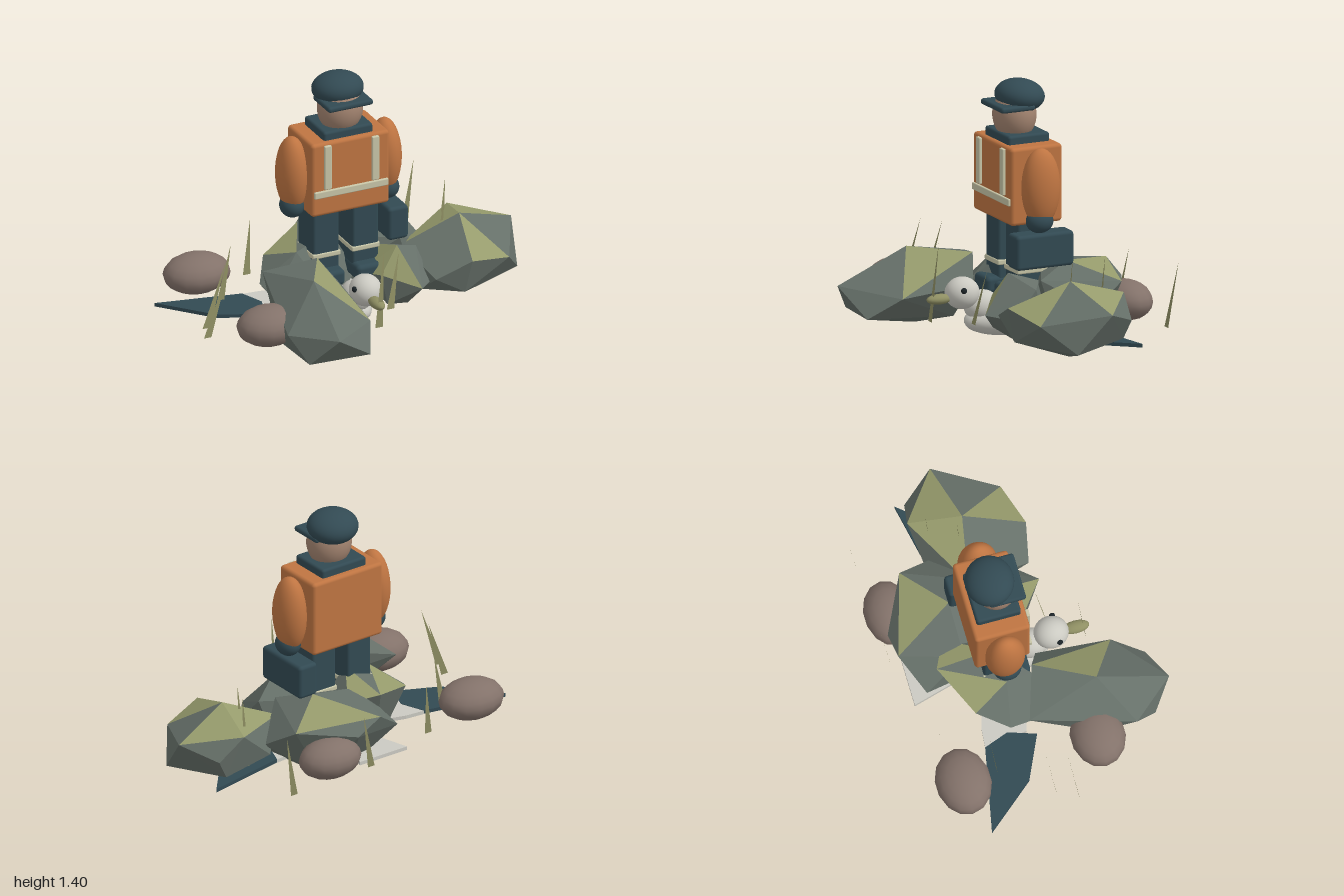
import * as THREE from 'three';
import { RoundedBoxGeometry } from 'three/addons/geometries/RoundedBoxGeometry.js';
import { ConvexGeometry } from 'three/addons/geometries/ConvexGeometry.js';

const mat = (name, color, flatShading = false) => {
  const m = new THREE.MeshStandardMaterial({ color, flatShading });
  m.name = name;
  return m;
};

export function createModel() {
  const orange = mat('orange', 0xbf7542), navy = mat('navy', 0x324a53), skin = mat('skin', 0xa38470);
  const brown = mat('brown stone', 0x83726a), grey = mat('rock grey', 0x667069, true);
  const moss = mat('moss', 0x969b6c, true), cream = mat('cream', 0xc8c6a8);
  const white = mat('feather white', 0xcbcac2), straw = mat('straw', 0x8f8f63), black = mat('black', 0x1c2428);
  straw.side = THREE.DoubleSide;

  const CX = -0.045; // shared centre line of the figure and the bird
  const model = new THREE.Group();
  const group = (name) => {
    const g = new THREE.Group();
    g.name = name;
    model.add(g);
    return g;
  };
  const add = (parent, name, geometry, material, x = 0, y = 0, z = 0) => {
    const m = new THREE.Mesh(geometry, material);
    m.name = name;
    m.position.set(x, y, z);
    parent.add(m);
    return m;
  };
  const box = (p, name, material, w, h, d, x, y, z, r = 0.015) =>
    add(p, name, new RoundedBoxGeometry(w, h, d, 2, r), material, x, y, z);
  const ball = (p, name, material, rx, ry, rz, x, y, z, seg = 24) =>
    add(p, name, new THREE.SphereGeometry(1, seg, Math.round(seg * 0.7)).scale(rx, ry, rz), material, x, y, z);

  // Faceted rocks: hull corners, and spots [x, z] whose nearest upper face is mossy
  const rocks = group('rocks');
  const rock = (name, corners, mossSpots) => {
    const geo = new ConvexGeometry(corners.map((c) => new THREE.Vector3(...c)));
    const p = geo.attributes.position, n = geo.attributes.normal, faces = [];
    for (let i = 0; i < p.count; i += 3) {
      faces.push({
        x: (p.getX(i) + p.getX(i + 1) + p.getX(i + 2)) / 3,
        z: (p.getZ(i) + p.getZ(i + 1) + p.getZ(i + 2)) / 3,
        up: n.getY(i) > 0.3, mossy: 0,
      });
    }
    for (const [x, z] of mossSpots) {
      const upper = faces.filter((f) => f.up);
      upper.sort((a, b) => Math.hypot(a.x - x, a.z - z) - Math.hypot(b.x - x, b.z - z));
      upper[0].mossy = 1;
    }
    faces.forEach((f, i) => geo.addGroup(i * 3, 3, f.mossy));
    add(rocks, name, geo, [grey, moss]);
  };
  rock('frontRightRock', [
    [-0.42, 0.46, 0.34], [-0.455, 0.275, 0.73], [-0.24, 0.13, 0.66], [-0.16, 0.24, 0.49],
    [-0.65, 0.255, 0.5], [-0.6, 0.125, 0.3], [-0.53, 0.37, -0.06], [-0.25, 0.43, 0.03],
    [-0.14, 0.28, 0.08], [-0.26, 0.09, 0.14], [-0.45, 0.03, 0.275], [-0.58, 0.12, 0.62],
  ], [[-0.275, 0.29]]);
  rock('backRock', [
    [0, 0.39, -0.635], [0.155, 0.32, -0.65], [0.46, 0.37, -0.5], [0.53, 0.25, -0.31],
    [-0.19, 0.25, -0.53], [0.2, 0.45, -0.3], [-0.1, 0.4, -0.3], [0.28, 0.07, -0.47],
    [0.07, 0.06, -0.47], [0.15, 0.06, -0.2], [0.4, 0.12, -0.15], [0.3, 0.38, -0.1], [-0.1, 0.15, -0.2],
  ], [[0.22, -0.47]]);
  rock('middleRock', [
    [-0.13, 0.41, -0.46], [0.03, 0.38, -0.385], [-0.4, 0.33, -0.32], [-0.5, 0.25, -0.155],
    [-0.48, 0.22, -0.03], [-0.125, 0.46, -0.15], [-0.3, 0.41, -0.12], [-0.22, 0, -0.29],
    [-0.38, 0.1, -0.2], [-0.05, 0.07, -0.3], [0.08, 0.25, -0.15], [-0.1, 0.15, 0], [-0.25, 0.3, 0.03],
  ], [[-0.1, -0.34], [-0.28, -0.29]]);
  rock('smallFrontRock', [
    [0.21, 0.42, 0.05], [0.365, 0.35, -0.04], [0.39, 0.2, 0.1], [0.28, 0.22, 0.22], [0.1, 0.28, 0.09],
    [0.04, 0.25, -0.06], [0.275, 0.07, 0.05], [0.13, 0.11, 0.1], [0.18, 0.35, -0.15], [0.32, 0.13, -0.13],
  ], [[0.12, 0.03], [0.14, -0.05], [0.2, 0.12]]);
  rock('leftRock', [
    [0.65, 0.455, -0.1], [0.715, 0.38, -0.385], [0.86, 0.26, -0.36], [0.995, 0.335, -0.18],
    [0.945, 0.125, 0], [0.82, 0.27, 0.16], [0.57, 0.325, 0.23], [0.375, 0.24, 0.19], [0.33, 0.31, -0.155],
    [0.51, 0.2, -0.34], [0.635, 0.04, -0.1], [0.36, 0.12, 0.02], [0.55, 0.13, 0.18], [0.8, 0.15, -0.34],
  ], [[0.56, -0.2], [0.79, -0.22], [0.68, 0.1]]);

  // Smooth boulders
  const boulders = group('boulders');
  for (const [x, z, rx, rz] of [[-0.715, -0.478, 0.188, 0.15], [0.308, -0.6, 0.182, 0.135], [-0.655, 0.28, 0.18, 0.148]])
    ball(boulders, 'boulder', brown, rx, 0.107, rz, x, 0.225, z, 14);

  // Flat grass blades: base x, z and tip x, y, z
  const grass = group('grass');
  const blades = [
    [-0.93, 0.1, -0.79, 0.5, 0.07], [-0.885, -0.01, -0.755, 0.48, -0.04], [-0.67, -0.28, -0.6, 0.44, -0.3],
    [-0.4, -0.52, -0.365, 0.44, -0.55], [0.08, -0.66, 0.155, 0.46, -0.695], [0.61, -0.69, 0.685, 0.5, -0.725],
    [0.62, -0.28, 0.665, 0.58, -0.3], [0.54, -0.135, 0.585, 0.56, -0.147], [0.1, 0.2, 0.17, 0.43, 0.155],
    [-0.055, 0.38, -0.01, 0.57, 0.35],
  ];
  for (const [bx, bz, tx, ty, tz] of blades) {
    const geo = new THREE.BufferGeometry().setFromPoints([
      new THREE.Vector3(bx - 0.022, 0.13, bz), new THREE.Vector3(bx + 0.022, 0.13, bz), new THREE.Vector3(tx, ty, tz),
    ]);
    geo.computeVertexNormals();
    add(grass, 'grassBlade', geo, straw);
  }

  // Bird lying under the rocks with its wings spread
  const bird = group('bird');
  const plate = (name, material, points, y) => {
    const shape = new THREE.Shape(points.map(([x, z]) => new THREE.Vector2(x, -z)));
    const geo = new THREE.ExtrudeGeometry(shape, { depth: 0.02, bevelEnabled: false }).rotateX(-Math.PI / 2);
    add(bird, name, geo, material, 0, y, 0);
  };
  ball(bird, 'birdBody', white, 0.12, 0.095, 0.27, CX, 0.11, -0.09);
  ball(bird, 'birdNeck', white, 0.08, 0.085, 0.1, CX, 0.19, 0.08);
  ball(bird, 'birdHead', white, 0.088, 0.087, 0.095, CX, 0.27, 0.195);
  ball(bird, 'beak', straw, 0.036, 0.028, 0.075, CX, 0.25, 0.33, 16);
  for (const s of [1, -1]) {
    const side = (pts) => pts.map(([x, z]) => [CX + s * (x - CX), z]);
    ball(bird, 'birdEye', black, 0.014, 0.017, 0.017, CX + s * 0.078, 0.3, 0.222, 12);
    plate('innerWing', white, side([[-0.09, -0.2], [-0.42, -0.295], [-0.53, -0.305], [-0.5, -0.07], [-0.09, 0.05]]), 0.115);
    plate('wingTip', navy, side([[-1, -0.4], [-0.53, -0.305], [-0.48, -0.17], [-0.53, -0.02], [-0.77, -0.13]]), 0.117);
  }
  plate('birdTail', white, [[-0.11, -0.28], [-0.2, -0.6], [0.11, -0.6], [0.02, -0.28]], 0.12);

  // Standing figure
  const figure = group('figure');
  box(figure, 'jacket', orange, 0.46, 0.425, 0.305, CX, 0.8725, -0.135, 0.02);
  box(figure, 'collar', navy, 0.29, 0.07, 0.245, CX, 1.097, -0.132);
  ball(figure, 'head', skin, 0.126, 0.145, 0.116, CX, 1.215, -0.115);
  ball(figure, 'cap', navy, 0.142, 0.088, 0.133, CX, 1.316, -0.146).rotation.x = -0.1;
  box(figure, 'capBrim', navy, 0.265, 0.032, 0.2, CX, 1.271, -0.077, 0.014);
  box(figure, 'waistStripe', cream, 0.435, 0.04, 0.02, CX, 0.79, 0.02, 0.006);
  for (const s of [1, -1]) {
    const at = (d) => CX + s * d;
    box(figure, 'chestStripe', cream, 0.042, 0.255, 0.02, at(0.14), 0.945, 0.025, 0.006);
    ball(figure, 'arm', orange, 0.086, 0.213, 0.108, at(0.274), 0.872, -0.135);
    ball(figure, 'glove', navy, 0.065, 0.065, 0.076, at(0.28), 0.69, -0.125);
    box(figure, 'leg', navy, 0.155, 0.42, 0.19, at(0.116), 0.47, -0.135);
    box(figure, 'cuff', cream, 0.165, 0.03, 0.2, at(0.116), 0.4, -0.135, 0.008);
    box(figure, 'boot', navy, 0.165, 0.09, 0.26, at(0.116), 0.28, -0.1, 0.025);
  }
  box(figure, 'carryCase', navy, 0.12, 0.19, 0.34, 0.23, 0.535, -0.135, 0.02);

  return model;
}
